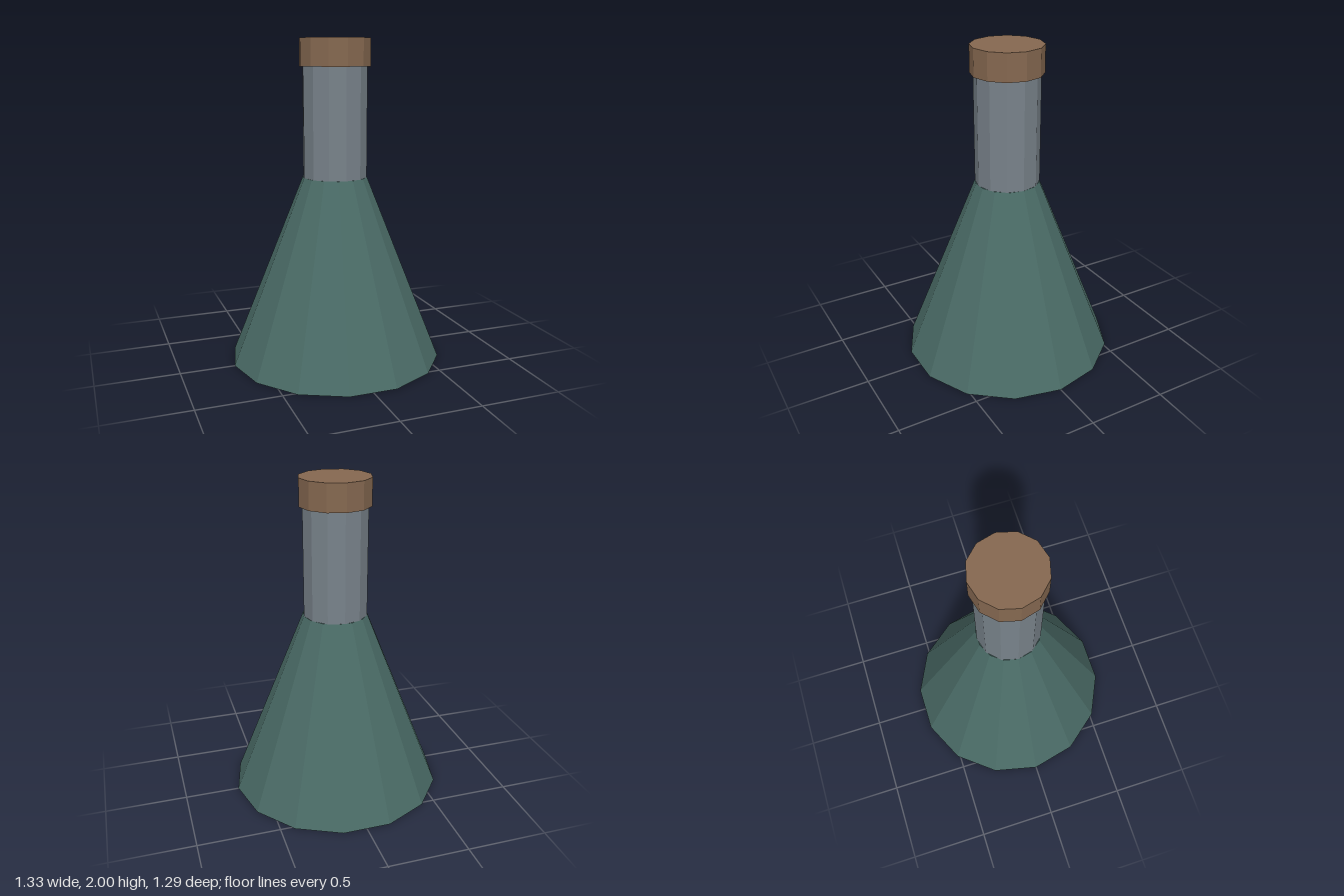
import * as THREE from 'three';

export function createModel() {
  const model = new THREE.Group();
  model.name = 'flask';

  const makeMaterial = (name, color) => {
    const material = new THREE.MeshStandardMaterial({ color });
    material.name = name;
    return material;
  };
  const teal = makeMaterial('teal', 0x4a6b66);
  const grey = makeMaterial('grey', 0x78828a);
  const brown = makeMaterial('brown', 0x856850);

  // Faceted round section with a corner on the x axis
  const addSection = (name, topRadius, bottomRadius, y0, y1, sides, material) => {
    const indexed = new THREE.CylinderGeometry(
      topRadius, bottomRadius, y1 - y0, sides, 1, false, Math.PI / 2
    );
    const geometry = indexed.toNonIndexed();
    geometry.computeVertexNormals(); // flat facets
    geometry.translate(0, (y0 + y1) / 2, 0);
    const mesh = new THREE.Mesh(geometry, material);
    mesh.name = name;
    model.add(mesh);
  };

  addSection('body', 0.2, 0.663, 0, 1.157, 14, teal);
  addSection('neck', 0.2, 0.2, 1.157, 1.835, 12, grey);
  addSection('stopper', 0.22, 0.22, 1.832, 2, 12, brown);

  return model;
}
